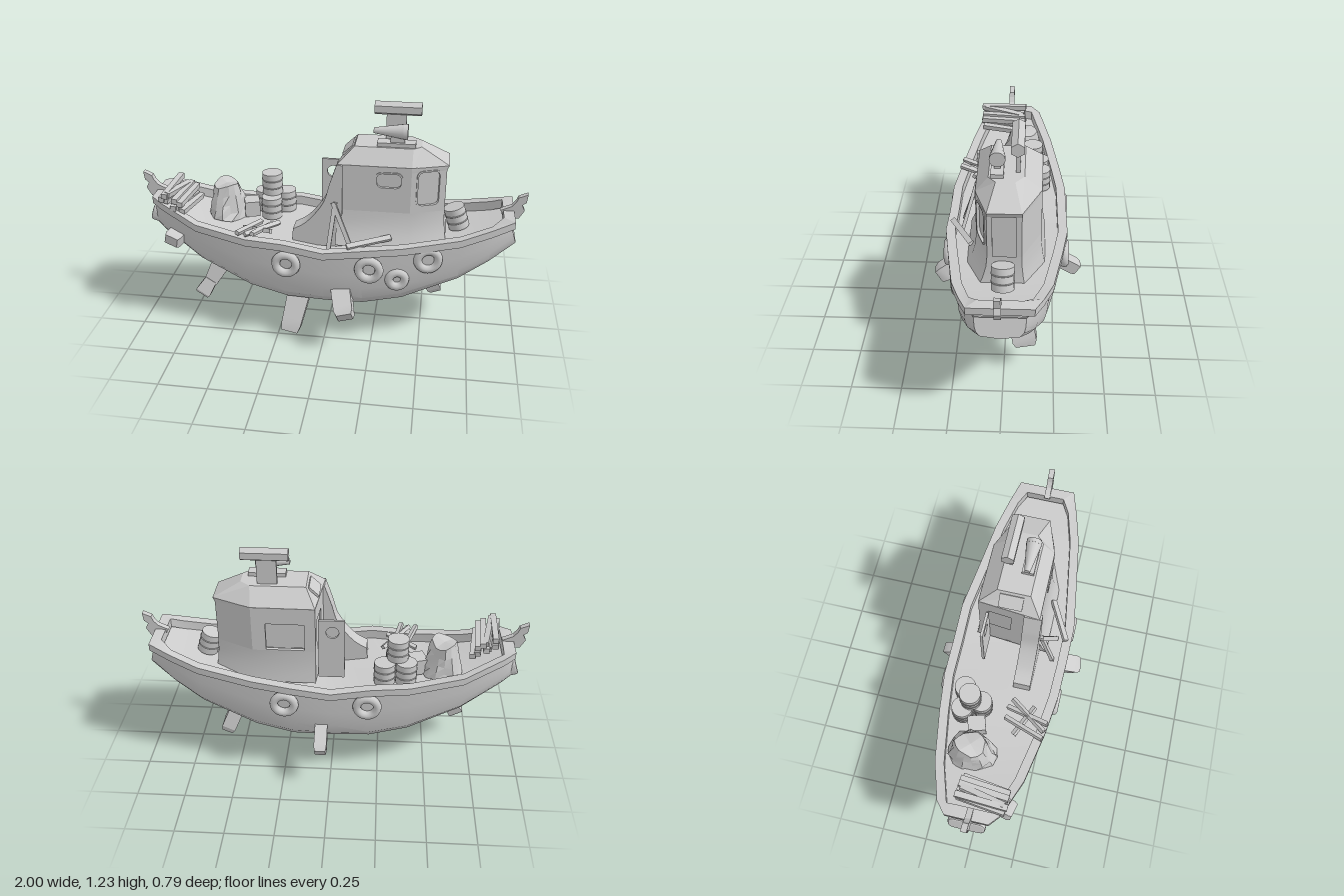
import * as THREE from 'three';
import { toCreasedNormals } from 'three/addons/utils/BufferGeometryUtils.js';

const mat = new THREE.MeshStandardMaterial({ color: 0xcccccc, side: THREE.DoubleSide });
const V = (x, y, z) => new THREE.Vector3(x, y, z);

function add(parent, name, geo, x = 0, y = 0, z = 0) {
  const m = new THREE.Mesh(geo, mat);
  m.name = name;
  m.position.set(x, y, z);
  parent.add(m);
  return m;
}

// Skin a row of equal-length cross-sections
function loft(rings, { around = false, loop = false, capStart = false, capEnd = false, crease = 0.5 } = {}) {
  const n = rings[0].length, R = rings.length, pos = [];
  const tri = (...p) => p.forEach(v => pos.push(v[0], v[1], v[2]));
  for (let i = 0; i < (loop ? R : R - 1); i++) {
    for (let j = 0; j < (around ? n : n - 1); j++) {
      const a = rings[i], b = rings[(i + 1) % R], k = (j + 1) % n;
      tri(a[j], a[k], b[k]);
      tri(a[j], b[k], b[j]);
    }
  }
  for (let j = 1; j < n - 1; j++) {
    if (capStart) tri(rings[0][0], rings[0][j + 1], rings[0][j]);
    if (capEnd) tri(rings[R - 1][0], rings[R - 1][j], rings[R - 1][j + 1]);
  }
  const g = new THREE.BufferGeometry();
  g.setAttribute('position', new THREE.Float32BufferAttribute(pos, 3));
  return toCreasedNormals(g, crease);
}

function extrude(shape, depth, bevel = 0) {
  return new THREE.ExtrudeGeometry(shape, { depth, curveSegments: 8, bevelEnabled: bevel > 0, bevelSize: bevel, bevelThickness: bevel, bevelSegments: 2 });
}

function roundRect(path, x0, y0, x1, y1, r) {
  path.moveTo(x0 + r, y0);
  path.lineTo(x1 - r, y0).quadraticCurveTo(x1, y0, x1, y0 + r);
  path.lineTo(x1, y1 - r).quadraticCurveTo(x1, y1, x1 - r, y1);
  path.lineTo(x0 + r, y1).quadraticCurveTo(x0, y1, x0, y1 - r);
  path.lineTo(x0, y0 + r).quadraticCurveTo(x0, y0, x0 + r, y0);
  return path;
}

// Bar from p to q; the far end is scaled by taper and its tip chamfered
function beam(parent, name, p, q, w, d, taper = 1, tip = 1) {
  const a = V(...p), b = V(...q), len = a.distanceTo(b);
  const g = new THREE.BoxGeometry(w, len, d, 1, 8, 1), P = g.attributes.position;
  for (let i = 0; i < P.count; i++) {
    const t = 0.5 - P.getY(i) / len;
    const s = (1 + (taper - 1) * t) * (t > 0.99 ? tip : 1);
    P.setX(i, P.getX(i) * s);
    P.setZ(i, P.getZ(i) * s);
  }
  const m = add(parent, name, toCreasedNormals(g, 0.4));
  m.position.copy(a).add(b).multiplyScalar(0.5);
  m.quaternion.setFromUnitVectors(V(0, -1, 0), b.sub(a).normalize());
}

// Hull stations: x, rail half width, rail height, keel height
const stations = [
  [-0.93, 0.11, 0.7, 0.54], [-0.87, 0.16, 0.69, 0.49], [-0.67, 0.23, 0.612, 0.36], [-0.4, 0.28, 0.575, 0.235],
  [-0.2, 0.305, 0.575, 0.19], [0, 0.31, 0.543, 0.186], [0.2, 0.31, 0.572, 0.188], [0.4, 0.28, 0.585, 0.225],
  [0.68, 0.235, 0.627, 0.35], [0.83, 0.19, 0.67, 0.45], [0.94, 0.15, 0.705, 0.55]];

function buildHull(g) {
  const profile = [[1, 0], [0.99, 0.35], [0.965, 0.6], [0.91, 0.78], [0.76, 0.92], [0, 1]];
  add(g, 'hull', loft(stations.map(([x, w, s, k], i) => {
    const lean = i === 0 ? -0.02 : i === stations.length - 1 ? 0.02 : 0;
    const inset = x > 0.9 ? 0.035 : 0.022;
    const half = profile.map(([f, t]) => [x + lean * (2 * t - 1), s - 0.02 + (k - s + 0.02) * t, (w - inset) * f]);
    return [...half, ...half.slice(0, -1).reverse().map(([a, b, c]) => [a, b, -c])];
  }), { capStart: true, capEnd: true, crease: 0.45 }));
  add(g, 'deck', loft(stations.map(([x, w, s]) => [[x, s - 0.05, 0.035 - w], [x, s - 0.05, w - 0.035]])));
  const outline = [...stations, ...stations.slice().reverse().map(([x, w, s]) => [x, -w, s])];
  add(g, 'rail', loft(outline.map(([x, w, s]) => {
    const xi = THREE.MathUtils.clamp(x, -0.87, 0.885), zi = w - Math.sign(w) * 0.048;
    return [[x, s, w], [x, s - 0.038, w], [xi, s - 0.05, zi], [xi, s, zi]];
  }), { around: true, loop: true, crease: 0.4 }));
  const pad = add(g, 'bowPad', extrude(roundRect(new THREE.Shape(), -0.085, -0.04, 0.085, 0.04, 0.03), 0.05, 0.01), -0.94, 0.59, 0);
  pad.rotation.set(0, Math.PI / 2, -0.3, 'ZYX');

  // Mooring horns at both ends
  for (const s of [-1, 1]) {
    const pts = [[1, 0.8], [0.955, 0.78], [0.945, 0.755], [0.925, 0.73], [0.87, 0.705], [0.9, 0.66], [0.965, 0.665], [0.99, 0.71], [0.975, 0.74], [0.995, 0.755]];
    add(g, 'mooringHorn', extrude(new THREE.Shape(pts.map(([x, y]) => new THREE.Vector2(x * s, y))), 0.03), 0, 0, -0.005);
  }
  // Tyre fenders
  for (const [x, y, z, r, turn] of [[-0.187, 0.46, 0.296, 0.052, 0], [0.235, 0.46, 0.296, 0.052, 0], [0.375, 0.395, 0.258, 0.04, 0.15],
    [0.525, 0.508, 0.235, 0.052, 0.18], [-0.187, 0.465, -0.297, 0.052, 0], [0.235, 0.465, -0.297, 0.052, 0]]) {
    add(g, 'tyreFender', new THREE.TorusGeometry(r, 0.022, 10, 24), x, y, z).rotation.y = turn;
  }
  // Legs and side pegs
  beam(g, 'frontLeg', [-0.56, 0.36, 0.06], [-0.645, 0.205, 0.11], 0.11, 0.09, 0.65);
  beam(g, 'frontFoot', [-0.64, 0.22, 0.11], [-0.69, 0.14, 0.13], 0.065, 0.06, 1.3, 0.85);
  beam(g, 'middleLeg', [-0.13, 0.28, 0.12], [-0.185, 0.015, 0.245], 0.125, 0.09, 0.8, 0.85);
  beam(g, 'sternLeg', [0.49, 0.34, -0.07], [0.575, 0.145, -0.11], 0.075, 0.12, 1, 0.8);
  beam(g, 'leftPeg', [0.08, 0.32, 0.2], [0.125, 0.215, 0.372], 0.1, 0.088, 0.95, 0.8);
  beam(g, 'rightPeg', [0.048, 0.32, -0.22], [0.048, 0.22, -0.382], 0.065, 0.07, 1, 0.85);
  beam(g, 'bowPeg', [-0.78, 0.505, 0.08], [-0.815, 0.495, 0.21], 0.09, 0.065, 0.95, 0.85);
}

function buildCabin(g) {
  // Walls run anticlockwise seen from above; windows are [u0, y0, u1, y1, radius, kind]
  const plan = [[0.05, 0.14], [0.42, 0.137], [0.59, 0.075], [0.59, -0.085], [0.4, -0.175], [0.08, -0.178]];
  const windows = [[0.2, 0.845, 0.32, 0.92, 0.03, 'framed'], [0.035, 0.75, 0.145, 0.93, 0.03, 'framed'], [0.025, 0.62, 0.135, 0.93, 0.004, 'plain'],
    null, [0.07, 0.715, 0.265, 0.865, 0.004, 'open'], [0.05, 0.54, 0.17, 0.87, 0.004, 'plain']];
  plan.forEach(([x, z], i) => {
    const [x2, z2] = plan[(i + 1) % plan.length], len = Math.hypot(x2 - x, z2 - z);
    const wall = new THREE.Group();
    wall.name = 'cabinWall';
    wall.position.set(x, 0, z);
    wall.rotation.y = Math.atan2(z - z2, x2 - x);
    const shape = new THREE.Shape([[0, 0.53], [len, 0.53], [len, 0.956], [0, 0.956]].map(p => new THREE.Vector2(...p)));
    if (windows[i]) {
      const [a, b, c, d, r, kind] = windows[i];
      shape.holes.push(roundRect(new THREE.Path(), a, b, c, d, r));
      if (kind !== 'open') add(wall, 'pane', new THREE.BoxGeometry(c - a + 0.01, d - b + 0.01, 0.006), (a + c) / 2, (b + d) / 2, -0.012);
      if (kind === 'framed') {
        const frame = roundRect(new THREE.Shape(), a - 0.008, b - 0.008, c + 0.008, d + 0.008, r + 0.006);
        frame.holes.push(roundRect(new THREE.Path(), a, b, c, d, r));
        add(wall, 'windowFrame', extrude(frame, 0.005));
      }
    }
    add(wall, 'wallPanel', extrude(shape, 0.018), 0, 0, -0.018);
    g.add(wall);
  });
  // Flared skirt and bevelled roof
  const ring = (pts, y) => pts.map(([x, z]) => [x, y, z]);
  const flare = (f) => plan.map(([x, z]) => [x + (x > 0.5 ? 0.02 * f : 0), z + (z > 0 ? 0.05 : -0.02) * f]);
  add(g, 'cabinSkirt', loft([ring(flare(1), 0.53), ring(flare(0.45), 0.59), ring(flare(0.12), 0.65), ring(flare(0), 0.71)], { around: true, crease: 0.5 }));
  const top = [[0.13, 0.075], [0.42, 0.075], [0.46, 0.04], [0.46, -0.05], [0.41, -0.092], [0.13, -0.092]];
  const eave = plan.map(([x, z]) => [x + (x > 0.5 ? 0.01 : 0), z]);
  add(g, 'roof', loft([ring(plan, 0.93), ring(eave, 0.955), ring(top, 1.032)], { around: true, capEnd: true, crease: 0.2 }));
  const hatch = add(g, 'roofWindow', new THREE.BoxGeometry(0.07, 0.012, 0.12), 0.095, 0.995, -0.015);
  hatch.rotation.z = 0.76;

  // Swept fairing ahead of the cabin
  const fair = new THREE.Shape();
  fair.moveTo(0.08, 0.5).lineTo(-0.18, 0.5).lineTo(-0.175, 0.585);
  fair.splineThru([[-0.1, 0.635], [-0.02, 0.74], [0.015, 0.85], [0.05, 0.955]].map(p => new THREE.Vector2(...p)));
  fair.lineTo(0.08, 0.955);
  add(g, 'fairing', toCreasedNormals(extrude(fair, 0.09), 0.5), 0, 0, 0.06);

  // Open door with porthole
  const door = roundRect(new THREE.Shape(), -0.065, 0.53, 0.07, 0.87, 0.006);
  door.holes.push(new THREE.Path().absarc(-0.002, 0.8, 0.033, 0, Math.PI * 2));
  add(g, 'door', extrude(door, 0.014), 0, 0, -0.137);

  // Radar scanner and horn
  add(g, 'radarMast', new THREE.BoxGeometry(0.1, 0.15, 0.02), 0.325, 1.095, -0.06);
  add(g, 'radarBar', toCreasedNormals(new THREE.CylinderGeometry(0.035, 0.035, 0.235, 6), 0.4), 0.332, 1.19, -0.06).rotation.set(Math.PI / 6, 0, Math.PI / 2);
  add(g, 'hornBase', new THREE.BoxGeometry(0.19, 0.02, 0.06), 0.335, 1.042, 0.035);
  add(g, 'hornStand', new THREE.BoxGeometry(0.07, 0.05, 0.03), 0.34, 1.07, 0.035);
  add(g, 'horn', new THREE.CylinderGeometry(0.014, 0.038, 0.15, 16), 0.295, 1.105, 0.035).rotation.z = Math.PI / 2;
  add(g, 'hornRim', new THREE.CylinderGeometry(0.038, 0.038, 0.022, 16), 0.378, 1.105, 0.035).rotation.z = Math.PI / 2;
}

function buildCargo(g) {
  // Ribbed barrels
  const outline = [[0, 0], [0.054, 0], [0.054, 0.036], [0.057, 0.039], [0.054, 0.042], [0.054, 0.076], [0.057, 0.079], [0.054, 0.082], [0.054, 0.116], [0, 0.116]];
  const barrel = toCreasedNormals(new THREE.LatheGeometry(outline.map(p => new THREE.Vector2(...p)), 20), 0.6);
  for (const [x, y, z] of [[-0.27, 0.54, -0.17], [-0.38, 0.54, -0.16], [-0.33, 0.54, -0.07], [-0.335, 0.657, -0.125]]) add(g, 'barrel', barrel, x, y, z);
  add(g, 'sternBarrel', barrel, 0.672, 0.588, 0).rotation.z = 0.3;
  add(g, 'crate', new THREE.BoxGeometry(0.08, 0.085, 0.09), -0.44, 0.59, -0.07).rotation.y = 0.3;

  // Crumpled covered heap, with folds deepening towards its hem
  const heap = new THREE.CylinderGeometry(0.062, 0.105, 0.175, 14, 4), P = heap.attributes.position;
  for (let i = 0; i < P.count; i++) {
    const a = Math.atan2(P.getZ(i), P.getX(i)), t = 0.5 - P.getY(i) / 0.175;
    const f = 1 + 0.07 * Math.sin(3 * a + 3 * t) + (0.03 + 0.06 * t) * Math.sin(7 * a + 5 * t);
    P.setXYZ(i, P.getX(i) * f, P.getY(i) + 0.012 * Math.sin(2 * a + 4 * t), P.getZ(i) * f * 1.22);
  }
  add(g, 'coveredHeap', toCreasedNormals(heap, 0.2), -0.572, 0.637, -0.065);

  // Log bundle across the bow
  for (let i = 0; i < 9; i++) {
    const col = i % 5, upper = i > 4 ? 1 : 0, sway = 0.01 * Math.sin(i * 2.3);
    const x = -0.85 + 0.027 * col + 0.012 * upper, y = 0.705 - 0.016 * col + 0.032 * upper;
    beam(g, 'log', [x + sway + 0.02, y - sway, -0.07 + sway], [x - sway - 0.01, y + 0.01 + sway, 0.175 - sway], 0.03, 0.028);
  }
  // Loose planks
  for (const [p, q] of [[[-0.36, 0.57, 0.06], [-0.44, 0.605, 0.27]], [[-0.26, 0.58, 0.08], [-0.4, 0.6, 0.27]],
    [[-0.44, 0.56, 0.12], [-0.28, 0.59, 0.2]], [[-0.3, 0.56, 0.06], [-0.36, 0.61, 0.28]]]) beam(g, 'plank', p, q, 0.022, 0.02);
  beam(g, 'leaningPlank', [0.045, 0.755, 0.155], [0.02, 0.52, 0.23], 0.022, 0.018);
  beam(g, 'leaningPlank', [0.035, 0.755, 0.16], [0.14, 0.53, 0.23], 0.022, 0.018);
  beam(g, 'railPlank', [0.12, 0.575, 0.28], [0.33, 0.585, 0.17], 0.018, 0.028);
}

export function createModel() {
  const root = new THREE.Group();
  root.name = 'leggedBoat';
  for (const [name, build] of [['hullGroup', buildHull], ['cabinGroup', buildCabin], ['cargoGroup', buildCargo]]) {
    const part = new THREE.Group();
    part.name = name;
    build(part);
    root.add(part);
  }
  return root;
}
